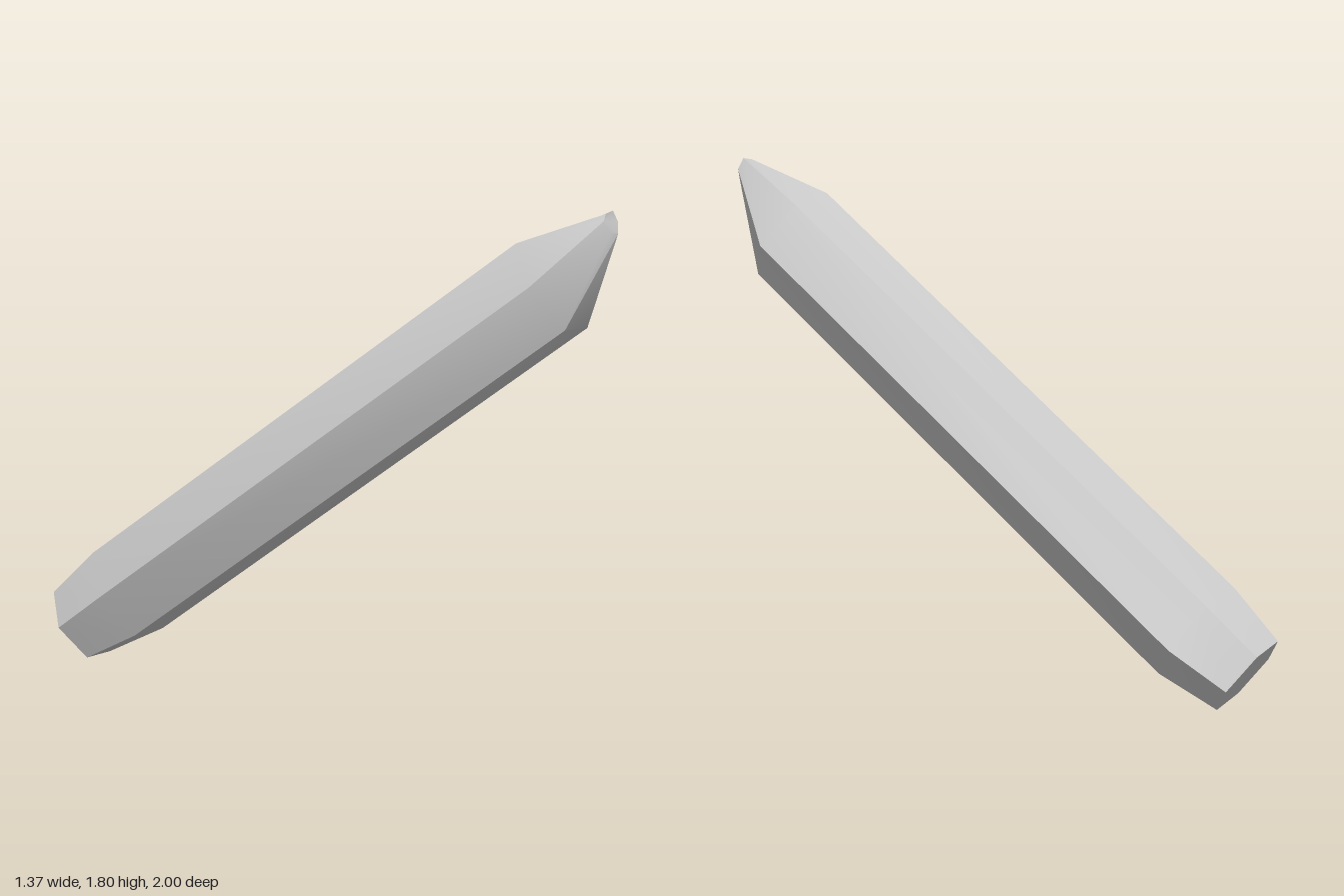
import * as THREE from 'three';
import { toCreasedNormals } from 'three/addons/utils/BufferGeometryUtils.js';

const V = (x, y, z) => new THREE.Vector3(x, y, z);

// hexagon perpendicular to the leaning axis, counter-clockwise around it
const d = V(0.178, -0.01, -0.108);
const e = V(0.045, 0.146, -0.146);
const f = e.clone().sub(d);
const hexagon = [d.clone().negate(), e.clone().negate(), f.clone().negate(), d, e, f];
const ring = (centre, scale) => hexagon.map(p => p.clone().multiplyScalar(scale).add(centre));

export function createModel() {
  // cross-sections from the blunt base to the narrow tip
  const rings = [
    ring(V(-0.543, 0.132, -0.882), 0.8),
    ring(V(-0.42, 0.272, -0.722), 1),
    ring(V(0.512, 1.538, 0.785), 0.98),
    // tip facet, bent slightly upwards
    [V(0.58, 1.775, 0.992), V(0.605, 1.735, 1), V(0.643, 1.73, 0.993),
      V(0.655, 1.77, 0.975), V(0.632, 1.81, 0.975), V(0.592, 1.8, 0.988)],
  ];

  const points = [];
  const triangle = (...corners) => points.push(...corners);

  // side facets
  for (let r = 0; r < rings.length - 1; r++) {
    for (let i = 0; i < 6; i++) {
      const j = (i + 1) % 6;
      const low = rings[r], high = rings[r + 1];
      triangle(low[i], low[j], high[j]);
      triangle(low[i], high[j], high[i]);
    }
  }

  // end facets
  const base = rings[0], tip = rings[rings.length - 1];
  for (let i = 1; i < 5; i++) {
    triangle(base[0], base[i + 1], base[i]);
    triangle(tip[0], tip[i], tip[i + 1]);
  }

  const geometry = toCreasedNormals(new THREE.BufferGeometry().setFromPoints(points), 0.7);
  const crystalGrey = new THREE.MeshStandardMaterial({ color: 0xcccccc });
  crystalGrey.name = 'crystalGrey';

  const crystal = new THREE.Mesh(geometry, crystalGrey);
  crystal.name = 'crystalShaft';
  const group = new THREE.Group();
  group.name = 'crystal';
  group.add(crystal);
  return group;
}
